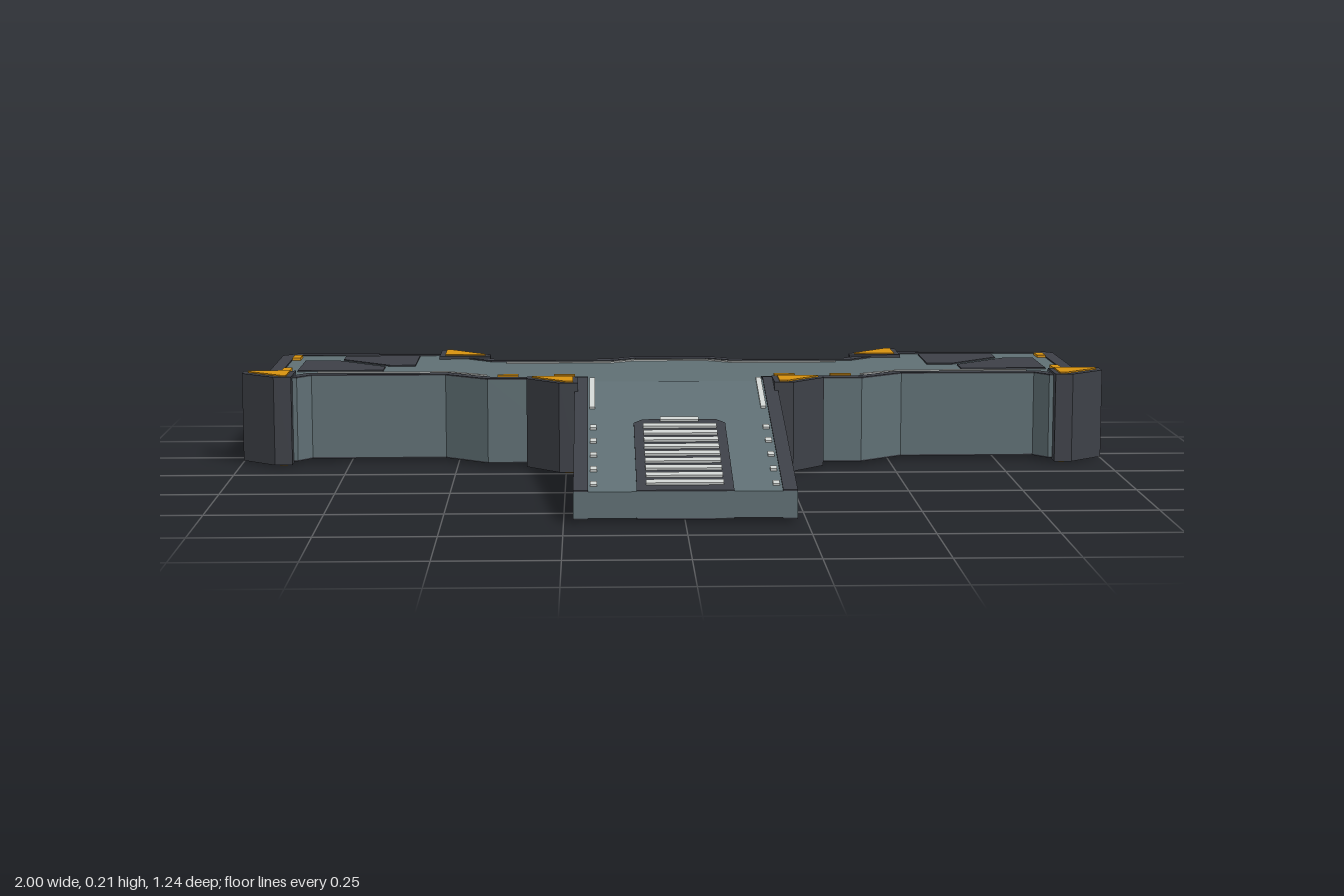
import * as THREE from 'three';

const mat = (name, color, extra = {}) => {
  const m = new THREE.MeshStandardMaterial({ color, ...extra });
  m.name = name;
  return m;
};

export function createModel() {
  const slate = mat('slate', 0x5f6f74);
  const dark = mat('charcoal', 0x3d4047);
  const amber = mat('amber', 0xd8920f);
  const pale = mat('pale grey', 0xd0d4d2);

  const model = new THREE.Group();
  model.name = 'platform';
  const TOP = 0.2, BOTTOM = 0.01;

  // Flat slab with an [x, z] outline, rising from y by h
  function slab(parent, name, pts, y, h, material) {
    const shape = new THREE.Shape(pts.map(([x, z]) => new THREE.Vector2(x, -z)));
    const geo = new THREE.ExtrudeGeometry(shape, { depth: h, bevelEnabled: false });
    geo.rotateX(-Math.PI / 2).translate(0, y, 0);
    const mesh = new THREE.Mesh(geo, material);
    mesh.name = name;
    parent.add(mesh);
    return mesh;
  }
  const flip = pts => pts.map(([x, z]) => [-x, z]);
  const rect = (x0, x1, z0, z1) => [[x0, z0], [x1, z0], [x1, z1], [x0, z1]];

  // Ribbon outline: an open path plus its mitred offset
  function ribbon(path, w) {
    const normals = path.slice(1).map(([x, z], i) => {
      const dx = x - path[i][0], dz = z - path[i][1], l = Math.hypot(dx, dz);
      return [-dz / l, dx / l];
    });
    const inner = path.map(([x, z], i) => {
      const a = normals[Math.max(i - 1, 0)], b = normals[Math.min(i, normals.length - 1)];
      const k = w / (1 + a[0] * b[0] + a[1] * b[1]);
      return [x + (a[0] + b[0]) * k, z + (a[1] + b[1]) * k];
    });
    return [...path, ...inner.reverse()];
  }

  // Plate on both wings, on the deck and on the underside
  function plates(name, pts, h, material, y = TOP) {
    for (const p of [pts, flip(pts)]) {
      slab(model, name + 'Top', p, y, h, material);
      slab(model, name + 'Bottom', p, TOP + BOTTOM - y - h, h, material);
    }
  }

  // Main deck, half outline from back centre round to the ramp
  const half = [
    [0, -0.51], [0.095, -0.51], [0.15, -0.47], [0.42, -0.47], [0.55, -0.595],
    [0.91, -0.595], [0.945, -0.56], [0.945, -0.2], [0.9, -0.15], [0.87, -0.15],
    [0.84, -0.19], [0.53, -0.19], [0.43, -0.11], [0.2, -0.11],
  ];
  slab(model, 'deck', [...half, ...flip(half).reverse().slice(0, -1)], BOTTOM, TOP - BOTTOM, slate);
  plates('deckTrim', ribbon(half, 0.03), 0.003, dark);

  // Wing pads
  plates('backPad', [[0.61, -0.545], [0.79, -0.545], [0.79, -0.475], [0.67, -0.36], [0.61, -0.36]], 0.003, dark);
  plates('frontPad', [[0.88, -0.46], [0.805, -0.46], [0.68, -0.34], [0.68, -0.27], [0.88, -0.27]], 0.003, dark);

  // Painted guide lines
  plates('backLine', ribbon([[0, -0.462], [0.09, -0.462], [0.15, -0.422], [0.395, -0.422]], 0.012), 0.003, pale);
  plates('frontLine', ribbon([[0.83, -0.235], [0.53, -0.235], [0.44, -0.175]], 0.012), 0.003, pale);

  // Amber marker lamps
  for (const [x0, x1, z0, z1] of [
    [0.895, 0.915, -0.54, -0.485], [0.895, 0.915, -0.3, -0.245],
    [0.23, 0.278, -0.165, -0.145], [0.36, 0.408, -0.165, -0.145],
  ]) plates('markerLamp', rect(x0, x1, z0, z1), 0.006, amber);

  // Corner posts with amber caps
  const posts = [
    ['outerPost', [[0.88, -0.235], [1, -0.235], [1, -0.19], [0.92, -0.12], [0.88, -0.12]],
      [[0.892, -0.222], [0.988, -0.222], [0.988, -0.205], [0.905, -0.132], [0.892, -0.132]]],
    ['innerPost', [[0.222, -0.115], [0.34, -0.115], [0.34, -0.08], [0.265, 0], [0.222, 0]],
      [[0.234, -0.103], [0.328, -0.103], [0.328, -0.092], [0.252, -0.012], [0.234, -0.012]]],
    ['backPost', [[0.56, -0.62], [0.527, -0.62], [0.437, -0.525], [0.437, -0.495], [0.56, -0.495]],
      [[0.547, -0.607], [0.535, -0.607], [0.45, -0.517], [0.45, -0.508], [0.547, -0.508]]],
  ];
  for (const [name, outline, cap] of posts) {
    for (const p of [outline, flip(outline)]) slab(model, name, p, 0.003, 0.204, dark);
    plates(name + 'Cap', cap, 0.003, amber, 0.207);
  }

  // Sloping ramp, extruded across from its side profile
  const TIP = 0.615, RISE = 0.185, SLOPE = 0.195, WIDTH = 0.46;
  const profile = new THREE.Shape([
    [-0.115, BOTTOM], [TIP, BOTTOM], [TIP, RISE - SLOPE * TIP], [-0.077, TOP], [-0.115, TOP],
  ].map(([z, y]) => new THREE.Vector2(-z, y)));
  const rampGeo = new THREE.ExtrudeGeometry(profile, { depth: WIDTH, bevelEnabled: false });
  rampGeo.translate(0, 0, -WIDTH / 2).rotateY(Math.PI / 2);
  const ramp = new THREE.Mesh(rampGeo, slate);
  ramp.name = 'ramp';
  model.add(ramp);

  // Ramp markings: edge trim, lines, dashes and the tread panel
  function rampMarkings(name) {
    const g = new THREE.Group();
    g.name = name;
    for (const s of [1, -1]) {
      const side = (n, pts, h, m) => slab(g, n, s > 0 ? pts : flip(pts), 0, h, m);
      side('rampTrim', rect(0.2, 0.23, -0.1, TIP), 0.003, dark);
      side('rampLine', rect(0.184, 0.196, -0.09, 0.11), 0.005, pale);
      for (let i = 0; i < 5; i++) {
        const z = 0.235 + i * 0.085;
        side('rampDash', rect(0.181, 0.195, z - 0.01, z + 0.01), 0.005, pale);
      }
    }
    slab(g, 'treadPanel', [[-0.1, TIP], [-0.1, 0.21], [-0.08, 0.187], [0.08, 0.187], [0.1, 0.21], [0.1, TIP]], 0, 0.003, dark);
    for (let i = 0; i < 10; i++) {
      const z = 0.193 + i * 0.0425, w = i ? 0.08 : 0.042;
      slab(g, 'tread', rect(-w, w, z - 0.01, z + 0.01), 0, 0.008, pale);
    }
    model.add(g);
    return g;
  }
  const upper = rampMarkings('rampTopMarkings');
  upper.position.y = RISE;
  upper.rotation.x = Math.atan(SLOPE);
  upper.scale.z = Math.hypot(1, SLOPE);
  const lower = rampMarkings('rampUndersideMarkings');
  lower.position.y = BOTTOM;
  lower.rotation.z = Math.PI;

  // Underside hatch below the ramp joint
  slab(model, 'undersideHatch', [
    [-0.09, -0.1], [0.09, -0.1], [0.13, -0.06], [0.13, 0.13], [0.09, 0.17], [-0.09, 0.17], [-0.13, 0.13], [-0.13, -0.06],
  ], 0.006, 0.004, dark);

  return model;
}
